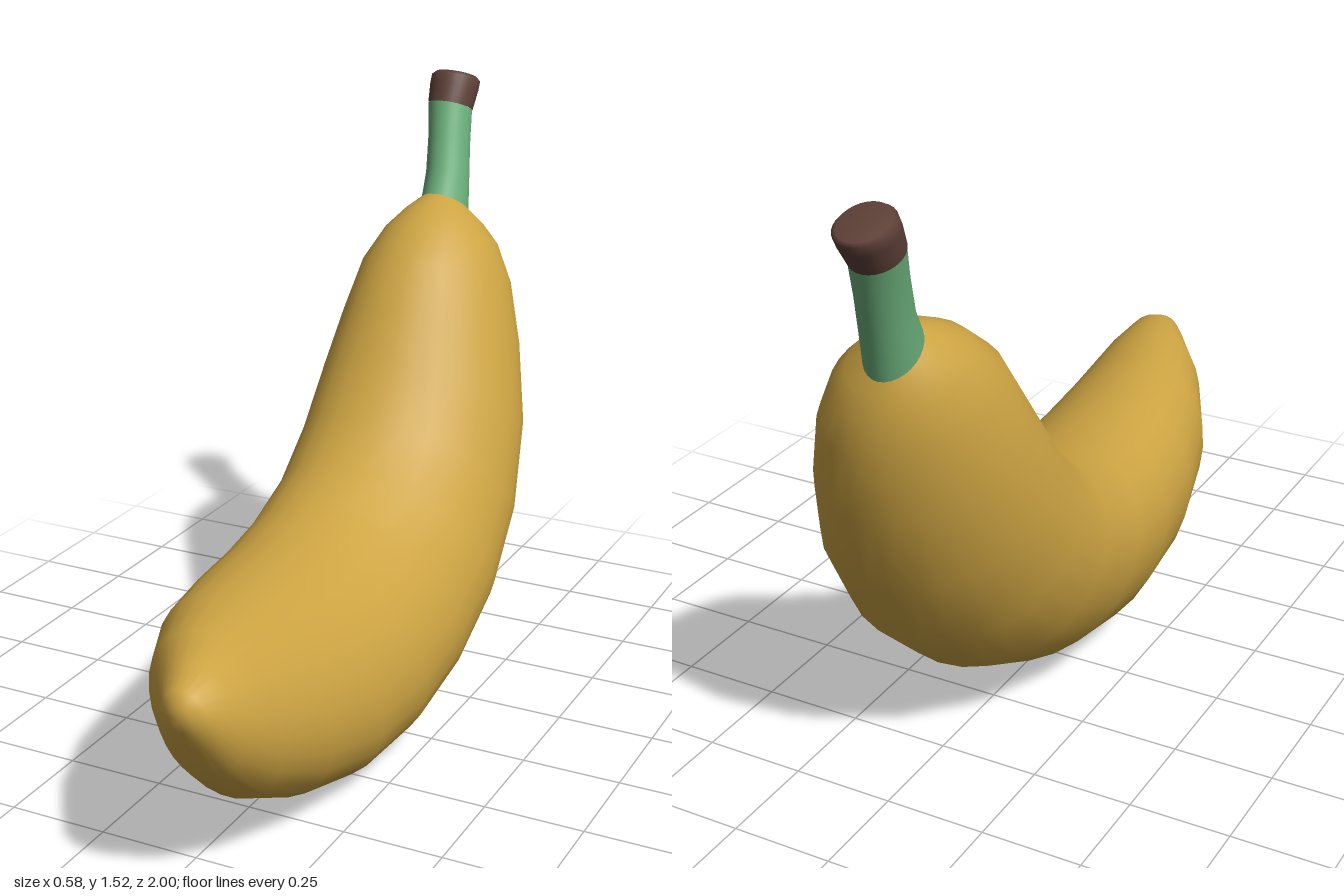
import * as THREE from 'three';

const SIDES = 28;

// Lofts rings given as [outer z, outer y, inner z, inner y, centre x, half width].
// roll leans each section so its +x side drops towards the outer curve.
function loft(rings, roll, capStart, capEnd) {
  const pos = [], index = [];
  rings.forEach(([zo, yo, zi, yi, cx, hw]) => {
    const k = roll * hw / 0.29, s = Math.sqrt(1 - k * k);
    for (let j = 0; j < SIDES; j++) {
      const a = (j / SIDES) * Math.PI * 2;
      const v = s * Math.sin(a) - k * Math.cos(a);
      pos.push(cx + hw * Math.cos(a), (yo + yi) / 2 + v * (yi - yo) / 2, (zo + zi) / 2 + v * (zi - zo) / 2);
    }
  });
  for (let i = 0; i < rings.length - 1; i++) {
    for (let j = 0; j < SIDES; j++) {
      const a = i * SIDES + j, b = i * SIDES + (j + 1) % SIDES;
      index.push(a, a + SIDES, b, b, a + SIDES, b + SIDES);
    }
  }
  // Close an end with a fan around a pole point [x, y, z]
  const fan = (pole, base, flip) => {
    const c = pos.length / 3;
    pos.push(...pole);
    for (let j = 0; j < SIDES; j++) {
      const a = base + j, b = base + (j + 1) % SIDES;
      index.push(c, flip ? b : a, flip ? a : b);
    }
  };
  if (capStart) fan(capStart, 0, false);
  if (capEnd) fan(capEnd, (rings.length - 1) * SIDES, true);
  const g = new THREE.BufferGeometry();
  g.setAttribute('position', new THREE.Float32BufferAttribute(pos, 3));
  g.setIndex(index);
  g.computeVertexNormals();
  return g;
}

export function createModel() {
  const group = new THREE.Group();
  const add = (name, geometry, material) => {
    const mesh = new THREE.Mesh(geometry, material);
    mesh.name = name;
    group.add(mesh);
  };
  const material = (name, color) => {
    const m = new THREE.MeshStandardMaterial({ color });
    m.name = name;
    return m;
  };
  const yellow = material('ripe yellow', 0xcda443);
  const green = material('stem green', 0x6cb07c);
  const brown = material('dry brown', 0x5d4037);

  // Curved fruit, from the front tip round to the neck
  add('fruit', loft([
    [0.995, 0.47, 0.998, 0.53, 0.12, 0.028],
    [0.97, 0.42, 0.98, 0.56, 0.118, 0.06],
    [0.9, 0.31, 0.91, 0.59, 0.108, 0.105],
    [0.76, 0.19, 0.79, 0.603, 0.075, 0.168],
    [0.55, 0.08, 0.6, 0.595, 0.035, 0.228],
    [0.31, 0.01, 0.4, 0.58, 0.015, 0.265],
    [0.06, 0.003, 0.22, 0.573, 0.005, 0.283],
    [-0.19, 0.06, 0.06, 0.59, 0, 0.29],
    [-0.41, 0.17, -0.11, 0.65, -0.003, 0.29],
    [-0.6, 0.34, -0.23, 0.74, -0.012, 0.283],
    [-0.75, 0.56, -0.33, 0.87, -0.025, 0.262],
    [-0.84, 0.78, -0.41, 0.98, -0.042, 0.228],
    [-0.88, 0.95, -0.49, 1.095, -0.055, 0.19],
    [-0.877, 1.05, -0.58, 1.165, -0.062, 0.147],
    [-0.867, 1.1, -0.66, 1.2, -0.072, 0.105],
    [-0.855, 1.135, -0.73, 1.22, -0.083, 0.063],
  ], 0.2, [0.12, 0.5, 1]), yellow);

  // Stem, slightly waisted
  add('stem', loft([
    [-0.857, 1.13, -0.728, 1.22, -0.083, 0.064],
    [-0.882, 1.22, -0.765, 1.28, -0.09, 0.059],
    [-0.915, 1.315, -0.8, 1.37, -0.102, 0.057],
    [-0.947, 1.4, -0.834, 1.452, -0.115, 0.06],
  ], 0), green);

  // Dry stem end with a softened rim
  add('stemEnd', loft([
    [-0.948, 1.4, -0.833, 1.452, -0.115, 0.061],
    [-0.985, 1.45, -0.855, 1.5, -0.117, 0.066],
    [-0.999, 1.472, -0.868, 1.522, -0.118, 0.066],
    [-0.995, 1.482, -0.88, 1.528, -0.118, 0.056],
  ], 0, null, [-0.118, 1.508, -0.938]), brown);

  return group;
}
